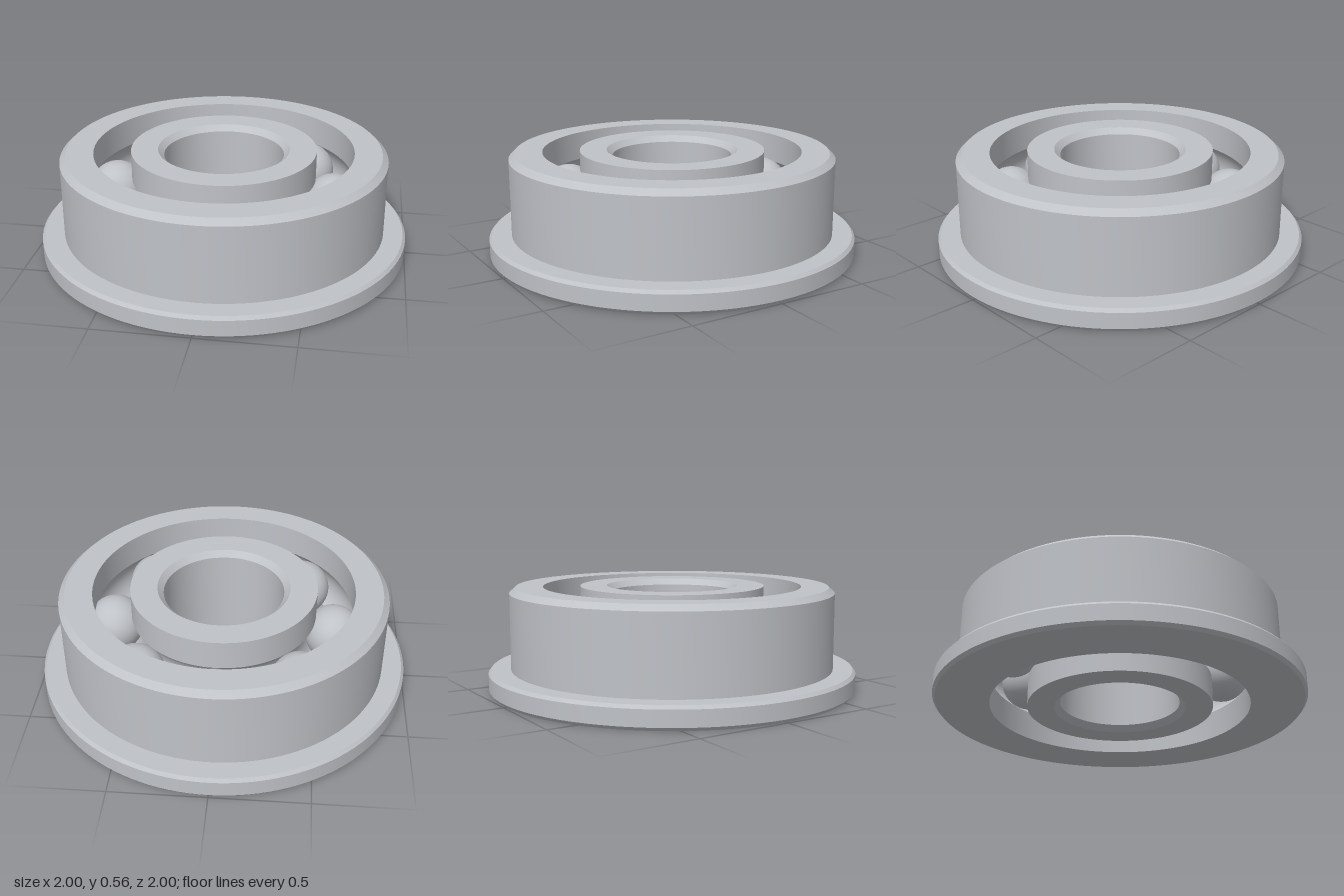
import * as THREE from 'three';
import { toCreasedNormals } from 'three/addons/utils/BufferGeometryUtils.js';

const HEIGHT = 0.56, MID = HEIGHT / 2;
const PITCH = 0.6, BALL = 0.155, GROOVE = 0.157;
const OUTER_WALL = 0.7, INNER_WALL = 0.5, BALL_COUNT = 8;

// Ball groove cross-section, swept from one angle to another
function groove(from, to, steps = 14) {
  return Array.from({ length: steps + 1 }, (_, i) => {
    const a = from + (to - from) * i / steps;
    return [PITCH + GROOVE * Math.cos(a), MID + GROOVE * Math.sin(a)];
  });
}

// Closed ring turned from a counter-clockwise (radius, height) profile
function ring(name, profile, material) {
  const points = [...profile, profile[0]].map(([r, y]) => new THREE.Vector2(r, y));
  const geometry = toCreasedNormals(new THREE.LatheGeometry(points, 128), 0.5);
  const mesh = new THREE.Mesh(geometry, material);
  mesh.name = name;
  return mesh;
}

export function createModel() {
  const model = new THREE.Group();
  model.name = 'flangedBallBearing';
  const steel = new THREE.MeshStandardMaterial({ color: 0xbfc2c7 });
  steel.name = 'steel';

  // Outer ring with its flange, top chamfer and inner ball groove
  const a = Math.acos((OUTER_WALL - PITCH) / GROOVE);
  model.add(ring('outerRing', [
    [OUTER_WALL, 0], [0.985, 0], [1, 0.018], [1, 0.103], [0.985, 0.12],
    [0.88, 0.12], [0.88, 0.53], [0.848, HEIGHT], [OUTER_WALL, HEIGHT],
    ...groove(a, -a),
  ], steel));

  // Inner ring with chamfered bore and outer ball groove
  const b = Math.acos((PITCH - INNER_WALL) / GROOVE);
  model.add(ring('innerRing', [
    [0.355, 0], [INNER_WALL, 0],
    ...groove(Math.PI + b, Math.PI - b),
    [INNER_WALL, HEIGHT], [0.355, HEIGHT], [0.323, HEIGHT - 0.032], [0.323, 0.032],
  ], steel));

  // Balls spaced evenly between the rings
  const balls = new THREE.Group();
  balls.name = 'balls';
  const ballGeometry = new THREE.SphereGeometry(BALL, 40, 28);
  for (let i = 0; i < BALL_COUNT; i++) {
    const t = i / BALL_COUNT * Math.PI * 2;
    const ball = new THREE.Mesh(ballGeometry, steel);
    ball.name = 'ball' + (i + 1);
    ball.position.set(PITCH * Math.cos(t), MID, PITCH * Math.sin(t));
    balls.add(ball);
  }
  model.add(balls);

  return model;
}
